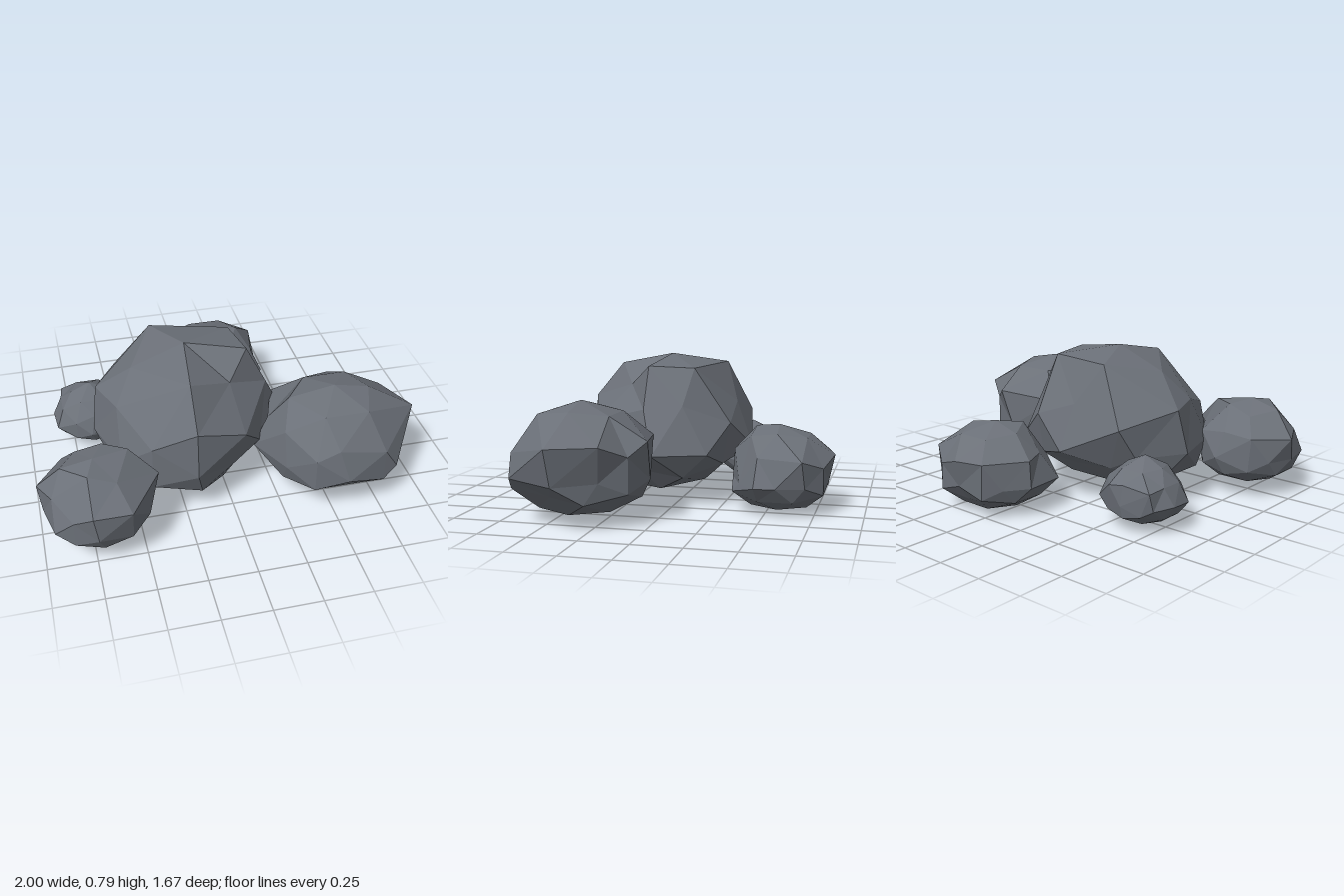
import * as THREE from 'three';
import { mergeVertices } from 'three/addons/utils/BufferGeometryUtils.js';

const stone = new THREE.MeshStandardMaterial({ color: 0x6b7078, flatShading: true });
stone.name = 'slateGrey';

// Low-poly boulder: a ball with a squashed underside, whose corners are then
// pulled to a few chosen points (each point takes the corner facing it).
function boulder(name, centre, radius, down, corners) {
  const ball = new THREE.IcosahedronGeometry(1, 1);
  ball.deleteAttribute('normal');
  ball.deleteAttribute('uv');
  const geo = mergeVertices(ball, 1e-3);
  const pos = geo.attributes.position;
  const origin = new THREE.Vector3(...centre);
  const dirs = [];
  for (let i = 0; i < pos.count; i++) {
    const d = new THREE.Vector3().fromBufferAttribute(pos, i).normalize();
    dirs.push(d);
    pos.setXYZ(i, d.x * radius, d.y * (d.y > 0 ? radius : down), d.z * radius);
  }

  const used = new Set();
  for (const corner of corners) {
    const p = new THREE.Vector3(...corner).sub(origin);
    const aim = p.clone();
    aim.y *= aim.y > 0 ? 1 : radius / down;
    aim.normalize();
    let best = -1;
    for (let i = 0; i < dirs.length; i++) {
      if (used.has(i)) continue;
      if (best < 0 || dirs[i].dot(aim) > dirs[best].dot(aim)) best = i;
    }
    used.add(best);
    pos.setXYZ(best, p.x, p.y, p.z);
  }

  const flat = geo.toNonIndexed();
  flat.computeVertexNormals();
  const mesh = new THREE.Mesh(flat, stone);
  mesh.name = name;
  mesh.position.copy(origin);
  return mesh;
}

export function createModel() {
  const group = new THREE.Group();
  group.name = 'boulderCluster';

  group.add(
    // Large middle boulder: waist, shoulders, crown, tapering underside
    boulder('centralBoulder', [-0.17, 0.29, 0.1], 0.5, 0.26, [
      [-0.66, 0.29, 0.05], [-0.56, 0.29, 0.37], [-0.2, 0.29, 0.58], [0.18, 0.29, 0.35],
      [0.37, 0.29, 0.08], [0.26, 0.29, -0.19], [-0.15, 0.29, -0.36], [-0.52, 0.29, -0.2],
      [-0.2, 0.54, 0.56], [-0.49, 0.45, -0.3], [-0.63, 0.52, 0.0], [0.26, 0.52, 0.15],
      [-0.55, 0.53, 0.22], [-0.17, 0.53, -0.27], [0.07, 0.43, 0.47], [0.08, 0.44, -0.28],
      [-0.17, 0.79, 0.1], [-0.45, 0.68, 0.1], [0.15, 0.74, 0.15],
      [-0.2, 0.73, 0.4], [0.03, 0.63, 0.28], [0.11, 0.73, -0.09], [-0.3, 0.74, -0.19],
      [-0.17, 0.03, 0.1], [-0.45, 0.12, 0.1], [0.1, 0.07, 0.1],
      [-0.15, 0.2, -0.22], [0.08, 0.22, -0.24], [-0.38, 0.22, -0.23],
      [-0.02, 0.11, -0.12], [-0.32, 0.11, -0.12],
      [0.15, 0.18, 0.21], [0.02, 0.2, 0.41],
    ]),
    // Broad boulder on the left side, with a pointed outer end
    boulder('leftBoulder', [0.57, 0.24, 0.38], 0.37, 0.21, [
      [0.95, 0.23, 0.4], [0.83, 0.24, 0.66], [0.55, 0.24, 0.73], [0.27, 0.24, 0.55],
      [0.15, 0.25, 0.33], [0.3, 0.24, 0.1], [0.58, 0.22, 0.02], [0.85, 0.24, 0.2],
      [1.0, 0.42, 0.41], [0.9, 0.42, 0.18], [0.66, 0.42, 0.01], [0.5, 0.41, 0.69],
      [0.23, 0.4, 0.31], [0.31, 0.4, 0.08], [0.32, 0.55, 0.37], [0.75, 0.56, 0.38],
      [0.56, 0.6, 0.38], [0.56, 0.03, 0.38], [0.55, 0.13, 0.61], [0.83, 0.16, 0.45],
    ]),
    // Front right boulder
    boulder('frontRightBoulder', [-0.71, 0.21, 0.55], 0.28, 0.16, [
      [-0.98, 0.21, 0.55], [-0.94, 0.21, 0.73], [-0.74, 0.21, 0.83], [-0.47, 0.21, 0.69],
      [-0.44, 0.21, 0.54], [-0.49, 0.21, 0.41], [-0.68, 0.22, 0.27], [-0.93, 0.21, 0.4],
      [-1.0, 0.33, 0.5], [-0.4, 0.35, 0.56], [-0.76, 0.35, 0.83], [-0.57, 0.34, 0.82],
      [-0.86, 0.34, 0.33], [-0.56, 0.34, 0.32],
      [-0.72, 0.5, 0.56], [-0.88, 0.46, 0.55], [-0.54, 0.48, 0.5],
      [-0.66, 0.48, 0.43], [-0.76, 0.48, 0.67],
    ]),
    // Back boulder
    boulder('backBoulder', [0.12, 0.16, -0.56], 0.29, 0.155, [
      [0.41, 0.16, -0.57], [0.42, 0.16, -0.46], [0.3, 0.16, -0.37], [0.1, 0.16, -0.3],
      [-0.16, 0.16, -0.38], [-0.18, 0.16, -0.6], [-0.1, 0.16, -0.72], [0.12, 0.16, -0.81],
      [0.11, 0.3, -0.84], [-0.04, 0.3, -0.8], [0.4, 0.3, -0.7], [-0.17, 0.3, -0.6],
      [0.12, 0.45, -0.55], [-0.04, 0.41, -0.56], [0.28, 0.42, -0.56], [0.05, 0.43, -0.42],
      [0.12, 0.08, -0.75], [0.1, 0.08, -0.34],
    ]),
    // Small boulder, back right
    boulder('smallBoulder', [-0.64, 0.14, -0.28], 0.2, 0.115, [
      [-0.85, 0.15, -0.32], [-0.8, 0.14, -0.42], [-0.63, 0.14, -0.46], [-0.46, 0.15, -0.41],
      [-0.43, 0.14, -0.28], [-0.5, 0.14, -0.13], [-0.66, 0.14, -0.08], [-0.84, 0.14, -0.19],
      [-0.79, 0.23, -0.44], [-0.57, 0.24, -0.47], [-0.45, 0.23, -0.33],
      [-0.64, 0.36, -0.28],
    ]),
  );
  return group;
}
